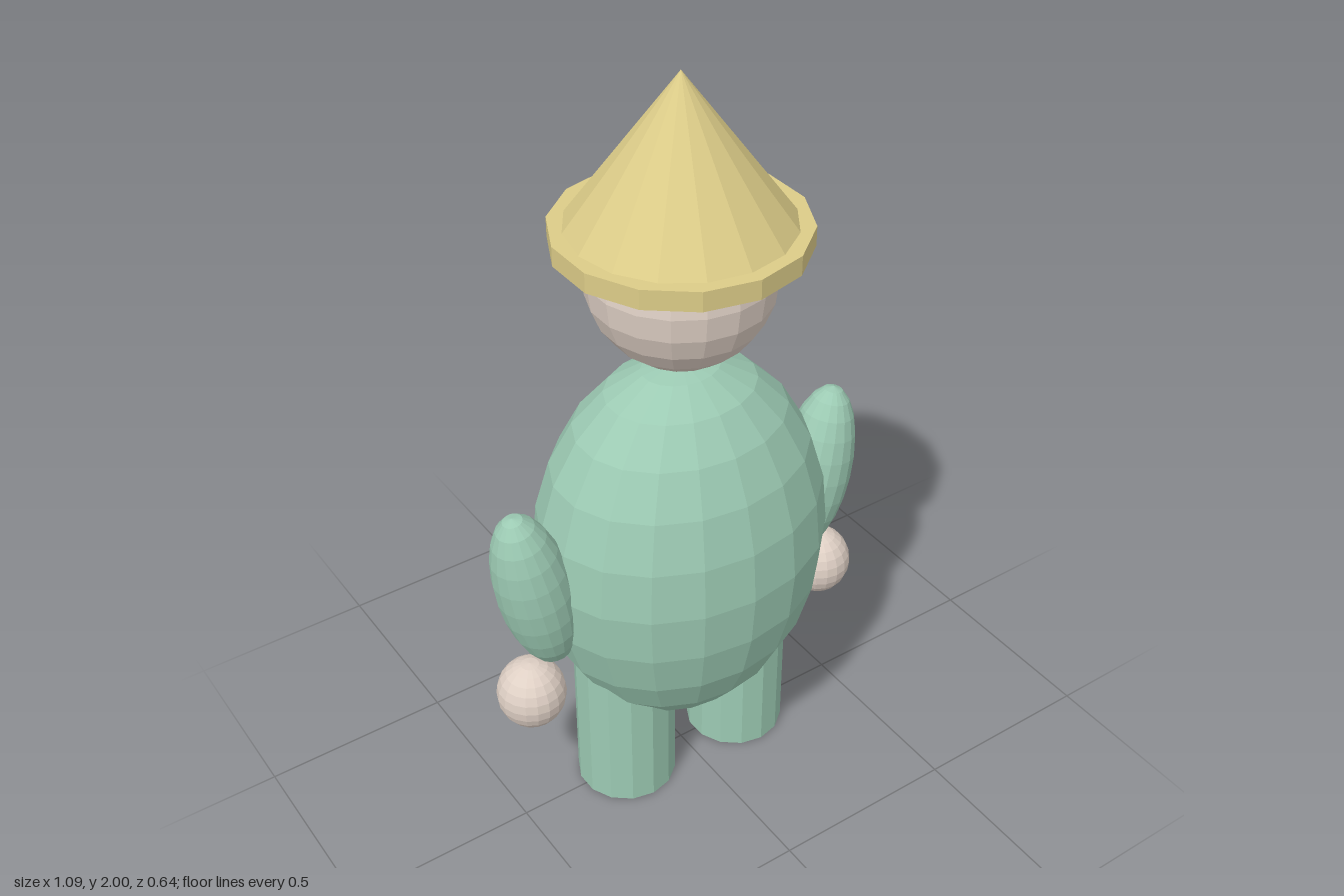
import * as THREE from 'three';

export function createModel() {
  const paint = (name, color) => {
    const m = new THREE.MeshStandardMaterial({ color, flatShading: true });
    m.name = name;
    return m;
  };
  const green = paint('sage green', 0x9ccab3);
  const skin = paint('pale skin', 0xdfd0c5);
  const straw = paint('straw', 0xdccc88);

  const model = new THREE.Group();
  model.name = 'hattedFigure';

  const add = (name, geometry, material, x, y, z = 0) => {
    const mesh = new THREE.Mesh(geometry, material);
    mesh.name = name;
    mesh.position.set(x, y, z);
    model.add(mesh);
    return mesh;
  };
  // Faceted ellipsoid with a meridian facing the front
  const ellipsoid = (rx, ry, rz) =>
    new THREE.SphereGeometry(1, 18, 12, Math.PI / 2).scale(rx, ry, rz);

  // Torso and head
  add('body', ellipsoid(0.395, 0.533, 0.32), green, 0, 0.733);
  add('head', ellipsoid(0.231, 0.243, 0.231), skin, 0, 1.517);

  // Pointed hat: flat brim disc and cone
  add('hatBrim', new THREE.CylinderGeometry(0.305, 0.305, 0.05, 14), straw, 0, 1.61);
  add('hatCone', new THREE.ConeGeometry(0.27, 0.365, 16), straw, 0, 1.8175);

  // Paired limbs
  for (const [side, s] of [['left', 1], ['right', -1]]) {
    add(side + 'Leg', new THREE.CylinderGeometry(0.133, 0.133, 0.45, 14), green, s * 0.18, 0.225);
    add(side + 'Arm', ellipsoid(0.097, 0.25, 0.097), green, s * 0.43, 0.755).rotation.z = -s * 0.2;
    add(side + 'Hand', ellipsoid(0.089, 0.096, 0.089), skin, s * 0.458, 0.43);
  }
  return model;
}
